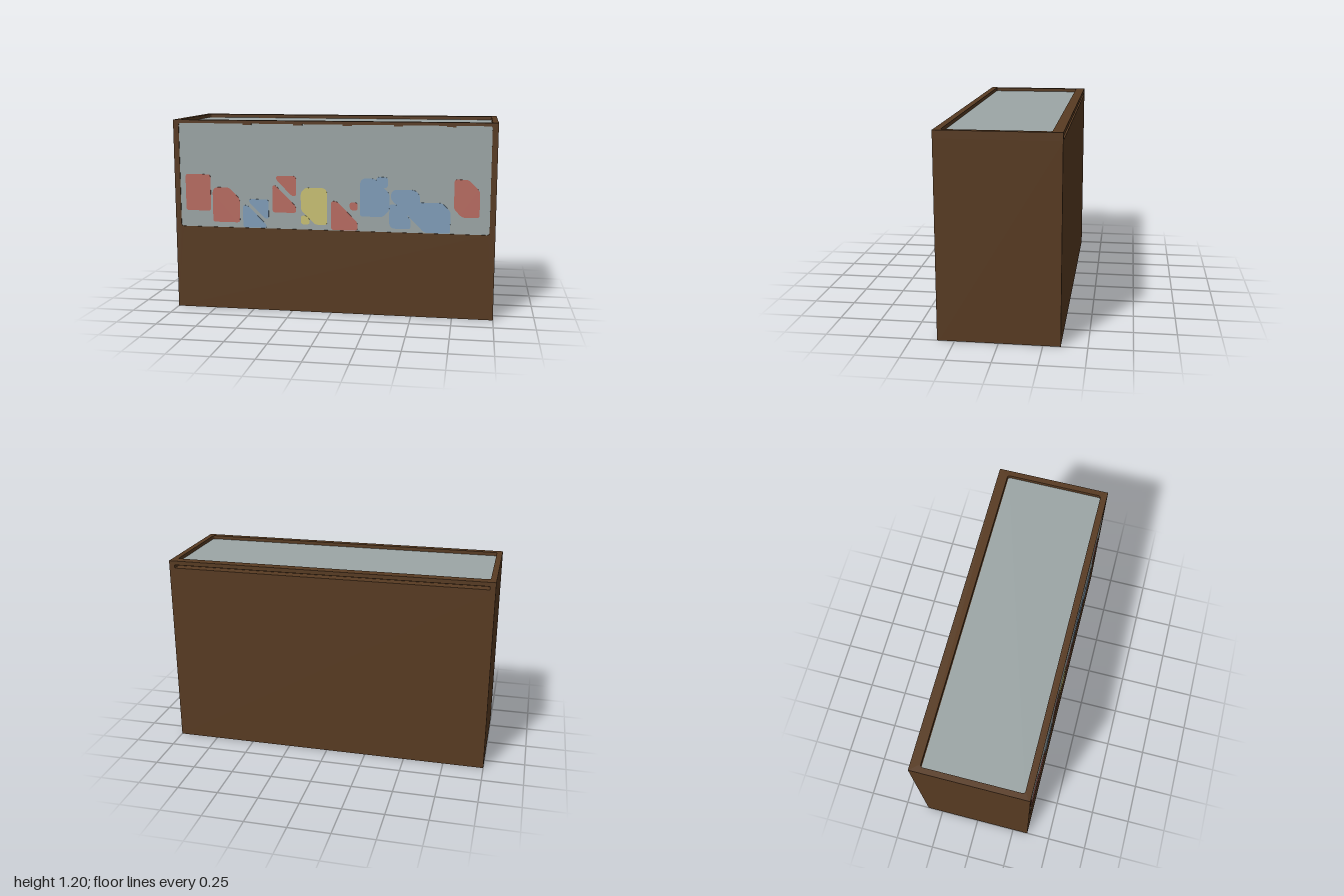
import * as THREE from 'three';

const wood = new THREE.MeshStandardMaterial({ name: 'dark wood', color: 0x583b22 });
const glass = new THREE.MeshStandardMaterial({ name: 'grey glass', color: 0x9ca6a6 });
const red = new THREE.MeshStandardMaterial({ name: 'faded red', color: 0xb86c61 });
const blue = new THREE.MeshStandardMaterial({ name: 'faded blue', color: 0x809eba });
const yellow = new THREE.MeshStandardMaterial({ name: 'faded yellow', color: 0xcac174 });

// Traces a polygon with softened corners on a Shape or Path
function softPolygon(path, points, radius) {
  const p = points.map(([x, y]) => new THREE.Vector2(x, y));
  p.forEach((corner, i) => {
    const prev = p[(i + p.length - 1) % p.length];
    const next = p[(i + 1) % p.length];
    const toward = (q) => corner.clone().lerp(q, Math.min(0.45, radius / corner.distanceTo(q)));
    const a = toward(prev);
    const b = toward(next);
    if (i === 0) path.moveTo(a.x, a.y);
    else path.lineTo(a.x, a.y);
    path.quadraticCurveTo(corner.x, corner.y, b.x, b.y);
  });
  path.closePath();
  return path;
}

// Rectangle whose corners may be cut off at 45 degrees
function cutRect(x0, y0, x1, y1, { tl = 0, tr = 0, br = 0, bl = 0 } = {}) {
  const corner = (cut, a, b) => (cut ? [a, b] : [a]);
  return [
    ...corner(bl, [x0, y0 + bl], [x0 + bl, y0]),
    ...corner(br, [x1 - br, y0], [x1, y0 + br]),
    ...corner(tr, [x1, y1 - tr], [x1 - tr, y1]),
    ...corner(tl, [x0 + tl, y1], [x0, y1 - tl]),
  ];
}

function extrude(shape, depth) {
  return new THREE.ExtrudeGeometry(shape, { depth, bevelEnabled: false, curveSegments: 5 });
}

// Rectangular frame with a soft-cornered opening
function frame(outer, inner, depth) {
  const shape = new THREE.Shape(outer.map(([x, y]) => new THREE.Vector2(x, y)));
  shape.holes.push(softPolygon(new THREE.Path(), inner, 0.016));
  return extrude(shape, depth);
}

export function createModel() {
  const model = new THREE.Group();
  model.name = 'displayCabinet';

  function add(name, geometry, material, x = 0, y = 0, z = 0) {
    const mesh = new THREE.Mesh(geometry, material);
    mesh.name = name;
    mesh.position.set(x, y, z);
    model.add(mesh);
    return mesh;
  }
  // Box given by its opposite corners
  function box(name, material, x0, y0, z0, x1, y1, z1) {
    add(name, new THREE.BoxGeometry(x1 - x0, y1 - y0, z1 - z0), material,
      (x0 + x1) / 2, (y0 + y1) / 2, (z0 + z1) / 2);
  }
  // Thin coloured plate on the front glass
  function plate(name, material, x0, y0, x1, y1, cuts) {
    const shape = softPolygon(new THREE.Shape(), cutRect(x0, y0, x1, y1, cuts), 0.018);
    add(name, extrude(shape, 0.003), material, 0, 0, 0.3455);
  }

  // Cabinet body, with a long slot left open along the top of the back
  box('cabinetBody', wood, -1, 0, -0.35, 1, 1.155, 0.34);
  box('slotCore', wood, -1, 1.155, -0.29, 1, 1.175, 0.34);
  box('slotEndRight', wood, -1, 1.155, -0.35, -0.965, 1.175, -0.29);
  box('slotEndLeft', wood, 0.965, 1.155, -0.35, 1, 1.175, -0.29);
  box('slotGlassEdge', glass, -0.95, 1.162, -0.294, 0.95, 1.168, -0.29);

  // Top rim around the sunken lid glass
  const rim = frame(cutRect(-1, -0.34, 1, 0.35), cutRect(-0.965, -0.31, 0.965, 0.29), 0.025);
  add('topRim', rim, wood, 0, 1.175, 0).rotation.x = -Math.PI / 2;
  box('lidGlass', glass, -0.968, 1.172, -0.285, 0.968, 1.178, 0.313);

  // Front frame and window
  const front = frame(cutRect(-1, 0, 1, 1.2), cutRect(-0.965, 0.527, 0.965, 1.18), 0.01);
  add('frontFrame', front, wood, 0, 0, 0.34);
  box('frontGlass', glass, -0.97, 0.52, 0.339, 0.97, 1.185, 0.346);

  // Small clips along the window's upper edge
  for (const x of [-0.525, -0.205, 0.1, 0.41, 0.725]) {
    box('windowClip', wood, x - 0.028, 1.172, 0.345, x + 0.028, 1.183, 0.349);
  }

  // Coloured goods shown in the window, from the cabinet's right to its left
  plate('redBlock', red, -0.93, 0.63, -0.768, 0.86);
  plate('redBlock', red, -0.755, 0.56, -0.58, 0.78, { tl: 0.02, tr: 0.07 });
  plate('blueWedge', blue, -0.56, 0.53, -0.41, 0.67, { tr: 0.12 });
  plate('blueWedge', blue, -0.52, 0.59, -0.395, 0.71, { bl: 0.1 });
  plate('redWedge', red, -0.37, 0.63, -0.22, 0.8, { tr: 0.13 });
  plate('redWedge', red, -0.345, 0.735, -0.22, 0.86, { bl: 0.1 });
  plate('yellowBlock', yellow, -0.19, 0.56, -0.025, 0.79, { tl: 0.03, tr: 0.02, bl: 0.09 });
  plate('yellowChip', yellow, -0.19, 0.56, -0.135, 0.615, { tr: 0.02 });
  plate('redWedge', red, 0, 0.53, 0.165, 0.71, { tr: 0.13 });
  plate('redChip', red, 0.115, 0.655, 0.165, 0.705, { bl: 0.015 });
  plate('blueBlock', blue, 0.18, 0.62, 0.36, 0.855, { tl: 0.02, tr: 0.09, br: 0.04 });
  plate('blueChip', blue, 0.28, 0.8, 0.35, 0.865, { bl: 0.03 });
  plate('blueBlock', blue, 0.37, 0.63, 0.545, 0.79, { tl: 0.02, tr: 0.03, bl: 0.1 });
  plate('blueBlock', blue, 0.475, 0.53, 0.73, 0.715, { tr: 0.05, bl: 0.1 });
  plate('blueWedge', blue, 0.36, 0.55, 0.49, 0.7, { tr: 0.09, bl: 0.02 });
  plate('redBlock', red, 0.75, 0.63, 0.903, 0.86, { tr: 0.07, bl: 0.05 });
  return model;
}
